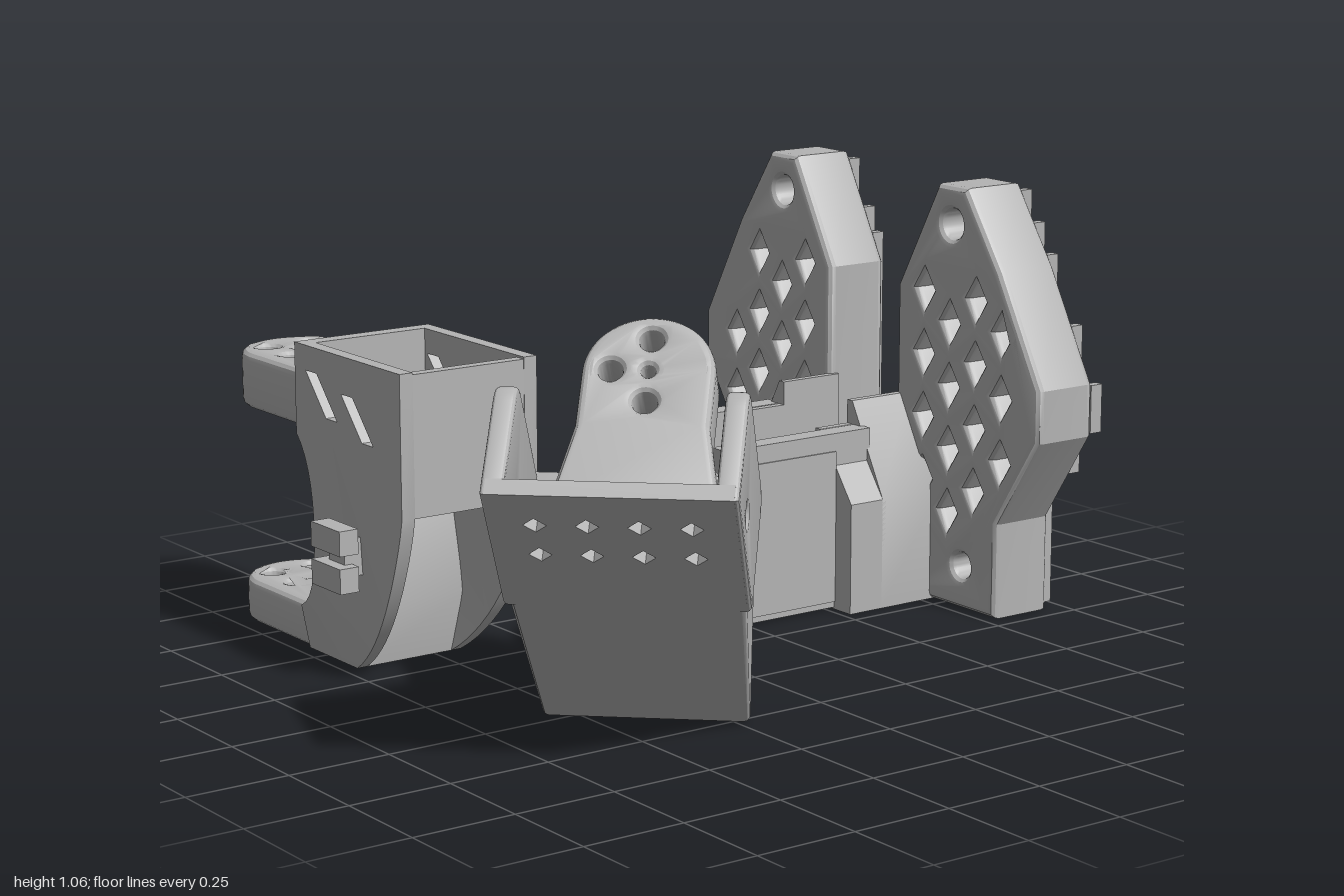
import * as THREE from 'three';
import { toCreasedNormals } from 'three/addons/utils/BufferGeometryUtils.js';

const grey = new THREE.MeshStandardMaterial({ color: 0xb4b4b4 });
grey.name = 'printed grey';

function add(parent, name, geo) {
  const m = new THREE.Mesh(geo, grey);
  m.name = name;
  parent.add(m);
}

// Box given by its minimum and maximum corners
function block(parent, name, x0, x1, y0, y1, z0, z1) {
  const g = new THREE.BoxGeometry(x1 - x0, y1 - y0, z1 - z0);
  add(parent, name, g.translate((x0 + x1) / 2, (y0 + y1) / 2, (z0 + z1) / 2));
}

const shapeOf = pts => new THREE.Shape(pts.map(p => new THREE.Vector2(p[0], p[1])));
const hole = pts => new THREE.Path(pts.map(p => new THREE.Vector2(p[0], p[1])));
const diamond = (x, y, w, h) => hole([[x - w, y], [x, y - h], [x + w, y], [x, y + h]]);
const round = (x, y, r) => new THREE.Path().absarc(x, y, r, 0, Math.PI * 2, true);

function extrude(shape, depth, bevel = 0) {
  return new THREE.ExtrudeGeometry(shape, {
    depth: depth - 2 * bevel, curveSegments: 14, bevelEnabled: bevel > 0,
    bevelSize: bevel, bevelThickness: bevel, bevelOffset: -bevel, bevelSegments: 3
  }).translate(0, 0, bevel);
}

// Extrudes a (z, y) profile across x, from x0 to x1
function across(shape, x0, x1, bevel = 0) {
  return toCreasedNormals(extrude(shape, x1 - x0, bevel).rotateY(-Math.PI / 2).translate(x1, 0, 0), 0.5);
}

// Scales the width of a geometry by a rule of height and depth
function narrow(geo, rule) {
  const p = geo.attributes.position;
  for (let i = 0; i < p.count; i++) p.setX(i, p.getX(i) * rule(p.getY(i), p.getZ(i)));
  geo.computeVertexNormals();
  return toCreasedNormals(geo, 0.5);
}

// Round-ended lug in the (x, z) plane, between heights y0 and y1, with four screw holes
function lug(parent, name, { base, start, neck, centre, r, y0, y1, slot, turn = Math.PI / 4 }) {
  const s = new THREE.Shape();
  s.moveTo(-base, start);
  s.lineTo(base, start);
  s.lineTo(r, neck);
  s.lineTo(r, centre);
  s.absarc(0, centre, r, 0, Math.PI, false);
  s.lineTo(-r, neck);
  s.closePath();
  for (let i = 0; i < 4; i++) {
    const a = turn + i * Math.PI / 2;
    s.holes.push(round(0.085 * Math.cos(a), centre + 0.085 * Math.sin(a), 0.027));
  }
  if (slot) s.holes.push(hole([[-0.018, centre - 0.04], [0.018, centre - 0.04], [0.018, centre + 0.03], [-0.018, centre + 0.03]]));
  else s.holes.push(round(0, centre, 0.015));
  const g = extrude(s, y1 - y0, 0.02).rotateX(Math.PI / 2).translate(0, y1, 0);
  add(parent, name, toCreasedNormals(g, 0.5));
}

// Perforated foot plates and the motor cradle that carries them
function footCradle() {
  const g = new THREE.Group();
  g.name = 'footCradle';
  const outline = [[-0.14, 0], [0.2, 0], [0.2, 0.24], [0.35, 0.47], [0.35, 0.6], [0.2, 0.87],
    [0.07, 1.06], [-0.04, 1.06], [-0.19, 0.79], [-0.19, 0.27], [-0.14, 0.24]];
  const crossings = z => {
    const ys = [];
    outline.forEach(([za, ya], i) => {
      const [zb, yb] = outline[(i + 1) % outline.length];
      if ((za > z) !== (zb > z)) ys.push(ya + (z - za) / (zb - za) * (yb - ya));
    });
    return [Math.min(...ys), Math.max(...ys)];
  };
  const inside = (z, y) => {
    if (z < -0.18 || z > 0.34) return false;
    const [a, b] = crossings(z);
    return y > a && y < b;
  };
  for (const flip of [false, true]) {
    const f = z => flip ? -0.65 - z : z;
    const pts = outline.map(([z, y]) => [f(z), y]);
    const s = shapeOf(flip ? pts.reverse() : pts);
    s.holes.push(round(f(0.015), 0.965, 0.038), round(f(0.07), 0.11, 0.032));
    for (let k = -1; k <= 3; k++) for (let j = 0; j < 7; j++) {
      const z = 0.015 + k * 0.098, y = 0.08 + j * 0.16 + (k % 2 ? 0.07 : 0);
      const fits = [[0.045, 0], [-0.045, 0], [0, 0.07], [0, -0.07]].every(d => inside(z + d[0], y + d[1]));
      const clear = Math.hypot(z - 0.07, y - 0.11) > 0.1 && Math.hypot(z - 0.015, y - 0.965) > 0.1;
      if (fits && clear) s.holes.push(diamond(f(z), y, 0.03, 0.046));
    }
    add(g, 'footPlate', across(s, 0.775, 0.955, 0.02));
    // Tread ribs
    for (const z of [-0.135, -0.1, -0.034, 0.064, 0.115, 0.165, 0.26, 0.335]) {
      const a = crossings(z - 0.012), b = crossings(z + 0.012);
      block(g, 'treadRib', 0.95, 0.985, Math.max(a[0], b[0]) + 0.01, Math.min(a[1], b[1]) - 0.01, f(z) - 0.012, f(z) + 0.012);
    }
  }
  // Cradle sides, sloped joining walls and plate ties
  for (const m of [-1, 1]) {
    const zs = (a, b) => [-0.32 + m * a, -0.32 + m * b].sort((p, q) => p - q);
    block(g, 'cradleSide', 0.18, 0.63, 0.005, 0.45, ...zs(0.155, 0.21));
    block(g, 'cradleLedge', 0.26, 0.52, 0.02, 0.405, ...zs(0.2, 0.214));
    const wall = top => shapeOf([[0.13, 0], [0.275, 0], [0.275, 0.28], [0.15, top], [0.13, top]].map(([z, y]) => [-0.32 + m * z, y]));
    add(g, 'joiningWall', across(wall(0.45), 0.52, 0.63));
    add(g, 'joiningWallRaised', across(wall(0.51), 0.62, 0.8));
    block(g, 'plateTie', 0.78, 0.955, 0, 0.28, ...zs(0.12, 0.27));
  }
  block(g, 'crossWall', 0.875, 0.955, 0, 0.28, -0.5, -0.14);
  block(g, 'innerWall', 0.62, 0.64, 0, 0.28, -0.5, -0.14);
  block(g, 'cableClip', 0.64, 0.69, 0.18, 0.28, -0.33, -0.27);
  // Rounded end wall with a shaft opening
  const end = new THREE.Shape();
  end.moveTo(-0.53, 0.005);
  end.lineTo(-0.11, 0.005);
  end.lineTo(-0.11, 0.3);
  end.quadraticCurveTo(-0.12, 0.39, -0.2, 0.43);
  end.quadraticCurveTo(-0.21, 0.57, -0.32, 0.57);
  end.quadraticCurveTo(-0.43, 0.57, -0.44, 0.43);
  end.quadraticCurveTo(-0.52, 0.39, -0.53, 0.3);
  end.closePath();
  end.holes.push(round(-0.32, 0.19, 0.08), round(-0.19, 0.35, 0.016), round(-0.45, 0.35, 0.016));
  add(g, 'endWall', across(end, 0.105, 0.215, 0.025));
  return g;
}

// Upright sleeve with two round-ended lugs
function uprightBracket() {
  const g = new THREE.Group();
  g.name = 'uprightBracket';
  const taper = geo => narrow(geo, y => 1 - 0.22 * (Math.max(0, 0.35 - y) / 0.35) ** 2);
  const side = new THREE.Shape();
  side.moveTo(0, 0.76);
  side.lineTo(0, 0.42);
  side.bezierCurveTo(0.03, 0.25, 0.14, 0.08, 0.28, 0);
  side.lineTo(0.5, 0);
  side.lineTo(0.5, 0.11);
  side.bezierCurveTo(0.37, 0.16, 0.37, 0.45, 0.47, 0.54);
  side.lineTo(0.47, 0.76);
  side.closePath();
  for (const [z, y] of [[0.12, 0.57], [0.28, 0.6]])
    side.holes.push(hole([[z, y], [z + 0.05, y], [z + 0.14, y + 0.1], [z + 0.09, y + 0.1]]));
  for (const x of [-0.185, 0.15]) add(g, 'sleeveSide', taper(across(side, x, x + 0.035)));
  const spine = shapeOf([[0.43, 0.76], [0.47, 0.76], [0.47, 0.54], [0.405, 0.42], [0.4, 0.25], [0.47, 0.12],
    [0.5, 0.1], [0.5, 0], [0.28, 0], [0.26, 0.15], [0.33, 0.45], [0.43, 0.6]].reverse());
  add(g, 'spine', taper(across(spine, -0.17, 0.17)));
  block(g, 'sleeveFront', -0.17, 0.17, 0.42, 0.755, 0.001, 0.03);
  lug(g, 'lowerLug', { base: 0.145, start: 0.36, neck: 0.5, centre: 0.76, r: 0.145, y0: 0, y1: 0.11, slot: true });
  lug(g, 'upperLug', { base: 0.16, start: 0.44, neck: 0.5, centre: 0.76, r: 0.145, y0: 0.54, y1: 0.68 });
  // Cable clip on the side
  block(g, 'clipStem', 0.14, 0.22, 0.25, 0.34, 0.2, 0.27);
  for (const y of [0.22, 0.31]) block(g, 'clipJaw', 0.2, 0.25, y, y + 0.06, 0.17, 0.3);
  g.rotation.y = Math.PI;
  g.position.set(-0.57, 0, -0.08);
  return g;
}

// Tilted open channel with two round-ended lugs
function tiltedBracket() {
  const g = new THREE.Group();
  g.name = 'tiltedBracket';
  const spine = new THREE.Shape();
  spine.moveTo(0, 0);
  spine.lineTo(0.11, -0.1);
  spine.lineTo(0.32, -0.1);
  spine.lineTo(0.32, 0.01);
  spine.bezierCurveTo(0.18, 0.08, 0.18, 0.32, 0.32, 0.43);
  spine.lineTo(0.3, 0.53);
  spine.lineTo(0, 0.53);
  spine.closePath();
  add(g, 'spine', narrow(across(spine, -0.26, 0.26, 0.02),
    (y, z) => 1 - THREE.MathUtils.clamp((0.42 - y) / 0.2, 0, 1) * (0.08 + 0.8 * z)));
  // Perforated channel floor, side walls and wedge-shaped grip ribs
  const floor = shapeOf([[-0.26, 0.48], [0.26, 0.48], [0.26, 0.88], [-0.26, 0.88]]);
  for (let i = 0; i < 4; i++) for (const y of [0.66, 0.77])
    floor.holes.push(diamond(-0.165 + i * 0.11, y, 0.025, 0.025));
  add(g, 'channelFloor', extrude(floor, 0.04));
  const side = new THREE.Shape();
  side.moveTo(0, 0.46);
  side.lineTo(0.24, 0.46);
  side.quadraticCurveTo(0.3, 0.46, 0.3, 0.52);
  side.lineTo(0.3, 0.82);
  side.quadraticCurveTo(0.3, 0.88, 0.24, 0.88);
  side.lineTo(0, 0.88);
  side.closePath();
  side.holes.push(round(0.08, 0.71, 0.025));
  for (const x of [-0.27, 0.22]) add(g, 'channelSide', across(side, x, x + 0.05, 0.012));
  const wedge = shapeOf([[0.03, 0.5], [0.27, 0.5], [0.27, 0.54], [0.03, 0.73]]);
  for (const x of [-0.11, 0, 0.11]) add(g, 'gripRib', across(wedge, x - 0.025, x + 0.025));
  lug(g, 'lowerLug', { base: 0.2, start: 0.13, neck: 0.4, centre: 0.57, r: 0.15, y0: -0.1, y1: 0.01, slot: true, turn: 0 });
  lug(g, 'upperLug', { base: 0.19, start: 0.2, neck: 0.42, centre: 0.57, r: 0.15, y0: 0.42, y1: 0.55, turn: 0 });
  g.rotation.set(-0.735, 2.395, 0, 'YXZ');
  g.position.set(-0.403, 0.005, 0.377);
  return g;
}

export function createModel() {
  const model = new THREE.Group();
  model.name = 'printedGripperParts';
  model.add(footCradle(), uprightBracket(), tiltedBracket());
  return model;
}
